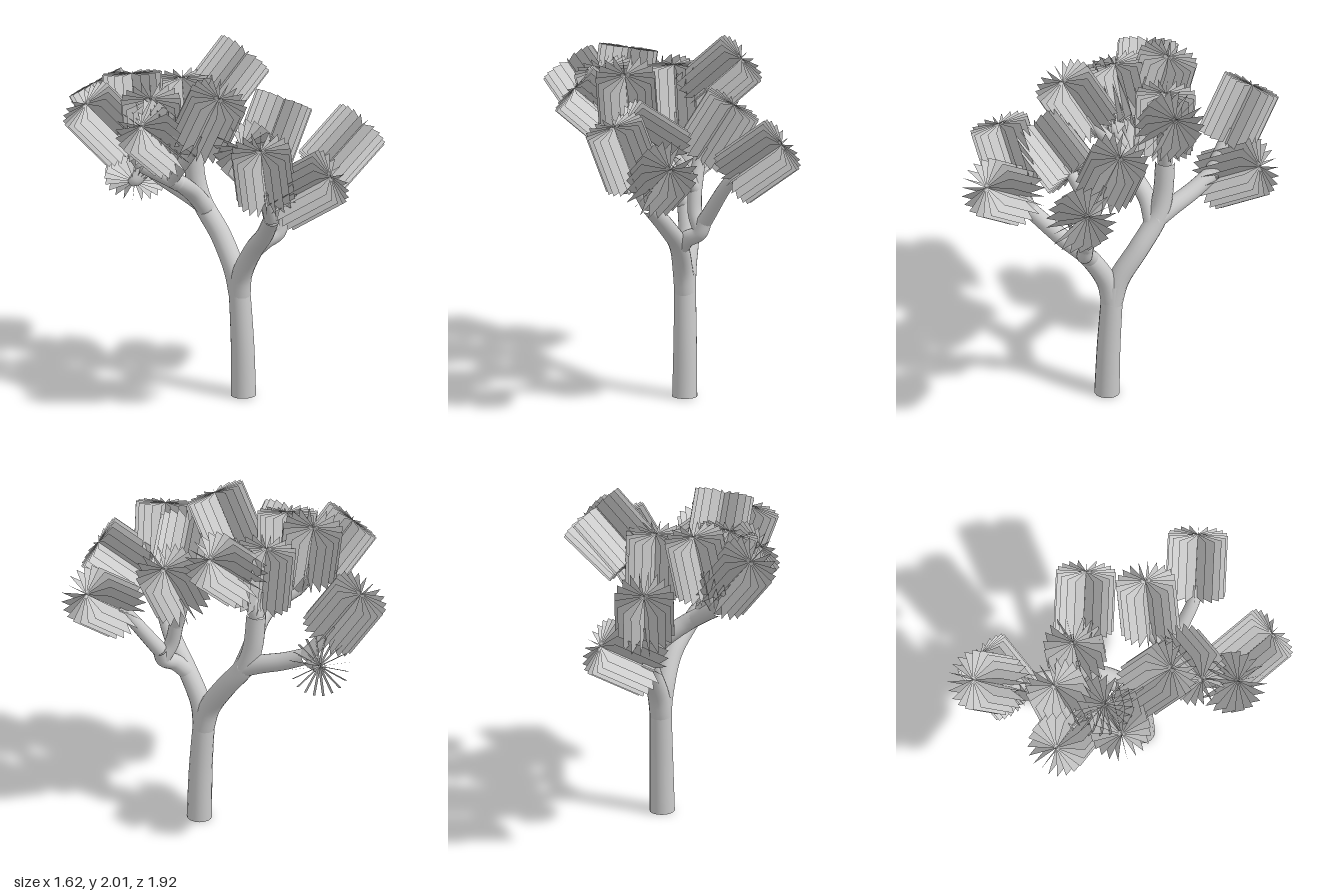
import * as THREE from 'three';
import { mergeGeometries } from 'three/addons/utils/BufferGeometryUtils.js';

const bark = new THREE.MeshStandardMaterial({ color: 0xcccccc });
const leaf = new THREE.MeshStandardMaterial({ color: 0xcccccc, side: THREE.DoubleSide });
const vec = (p) => new THREE.Vector3(...p);

// Tapered limb: a tube along a curve, with each ring scaled about its centre
function limb(name, points, r0, r1) {
  const curve = new THREE.CatmullRomCurve3(points.map(vec));
  const rings = 24, sides = 16;
  const geo = new THREE.TubeGeometry(curve, rings, 1, sides);
  const pos = geo.attributes.position;
  const v = new THREE.Vector3();
  for (let i = 0; i <= rings; i++) {
    const c = curve.getPointAt(i / rings);
    const r = r0 + (r1 - r0) * (i / rings);
    for (let j = 0; j <= sides; j++) {
      const k = i * (sides + 1) + j;
      v.fromBufferAttribute(pos, k).sub(c).multiplyScalar(r).add(c);
      pos.setXYZ(k, v.x, v.y, v.z);
    }
  }
  const mesh = new THREE.Mesh(geo, bark);
  mesh.name = name;
  return mesh;
}

// Leaf cluster: flat blades crossing on one axis, from base to tip
function leafCluster(tip, base) {
  const length = 0.355, width = 0.335, blades = 10;
  const geo = mergeGeometries(Array.from({ length: blades }, (_, i) =>
    new THREE.PlaneGeometry(width, length)
      .translate(0, -length / 2, 0)
      .rotateY((i * Math.PI) / blades)));
  const mesh = new THREE.Mesh(geo, leaf);
  const axis = vec(tip).sub(vec(base)).normalize();
  mesh.quaternion.setFromUnitVectors(new THREE.Vector3(0, 1, 0), axis);
  mesh.position.copy(vec(tip));
  mesh.name = 'leafCluster';
  return mesh;
}

export function createModel() {
  const tree = new THREE.Group();
  tree.name = 'tree';

  // Trunk with closed foot
  tree.add(limb('trunk', [[0.09, 0, 0.11], [0.09, 0.3, 0.1], [0.085, 0.58, 0.082], [0.08, 0.7, 0.075]], 0.071, 0.06));
  const foot = new THREE.Mesh(new THREE.CircleGeometry(0.071, 16).rotateX(Math.PI / 2), bark);
  foot.position.set(0.09, 0, 0.11);
  foot.name = 'trunkFoot';
  tree.add(foot);

  // Main limbs
  const frontFork = [-0.02, 1.2, 0.53];
  const sideFork = [0.24, 1.06, 0.27];
  const innerFork = [0.17, 1.23, 0.21];
  const backFork = [-0.1, 1.21, -0.54];
  const topFork = [0.0, 1.4, -0.25];
  const leftFork = [-0.26, 1.3, -0.1];
  const farLeftFork = [-0.4, 1.39, -0.18];
  tree.add(
    limb('frontLimb', [[0.085, 0.58, 0.082], [0.08, 0.72, 0.11], [0.08, 0.9, 0.22], [0.05, 1.03, 0.36], frontFork], 0.06, 0.045),
    limb('backLimb', [[0.085, 0.58, 0.082], [0.08, 0.72, 0.04], [0.07, 0.9, -0.08], [0.03, 1.07, -0.2], [0.01, 1.2, -0.235], topFork], 0.062, 0.055),
    limb('sideLimb', [[0.08, 0.88, 0.2], [0.14, 0.95, 0.25], [0.21, 0.99, 0.27], sideFork], 0.05, 0.042),
    limb('innerLimb', [[0.22, 1.0, 0.27], [0.18, 1.09, 0.24], innerFork], 0.042, 0.04),
    limb('rearLimb', [[0.04, 1.05, -0.18], [0.0, 1.1, -0.29], [-0.05, 1.15, -0.42], backFork], 0.055, 0.048),
    limb('leftLimb', [[0.04, 1.03, -0.17], [-0.05, 1.14, -0.16], [-0.17, 1.24, -0.11], leftFork], 0.052, 0.048),
    limb('farLeftLimb', [[-0.2, 1.26, -0.1], [-0.29, 1.32, -0.12], farLeftFork], 0.048, 0.045),
  );

  // Every twig leaves a fork and ends inside its leaf cluster: [fork, tip, base]
  const crowns = [
    [backFork, [-0.26, 1.66, -0.82], [-0.18, 1.38, -0.65]],
    [backFork, [0.03, 1.3, -0.79], [-0.17, 1.13, -0.57]],
    [topFork, [0.34, 1.88, -0.22], [0.09, 1.65, -0.22]],
    [topFork, [-0.06, 1.81, -0.27], [-0.04, 1.48, -0.25]],
    [sideFork, [0.71, 1.56, 0.385], [0.42, 1.34, 0.385]],
    [innerFork, [0.37, 1.7, 0.11], [0.19, 1.4, 0.15]],
    [innerFork, [-0.18, 1.64, 0.46], [0.07, 1.43, 0.3]],
    [frontFork, [0.17, 1.5, 0.83], [0.0, 1.3, 0.58]],
    [frontFork, [-0.19, 1.68, 0.66], [-0.09, 1.35, 0.58]],
    [leftFork, [-0.21, 1.885, 0.29], [-0.23, 1.58, 0.12]],
    [leftFork, [-0.56, 1.72, 0.03], [-0.3, 1.49, -0.03]],
    [leftFork, [-0.42, 1.82, -0.07], [-0.36, 1.5, -0.13]],
    [farLeftFork, [-0.68, 1.77, -0.33], [-0.46, 1.51, -0.25]],
    [farLeftFork, [-0.34, 1.87, -0.36], [-0.37, 1.54, -0.28]],
  ];
  for (const [fork, tip, base] of crowns) {
    const end = vec(base).lerp(vec(tip), 0.2).toArray();
    tree.add(limb('twig', [fork, base, end], 0.043, 0.034), leafCluster(tip, base));
  }
  return tree;
}
